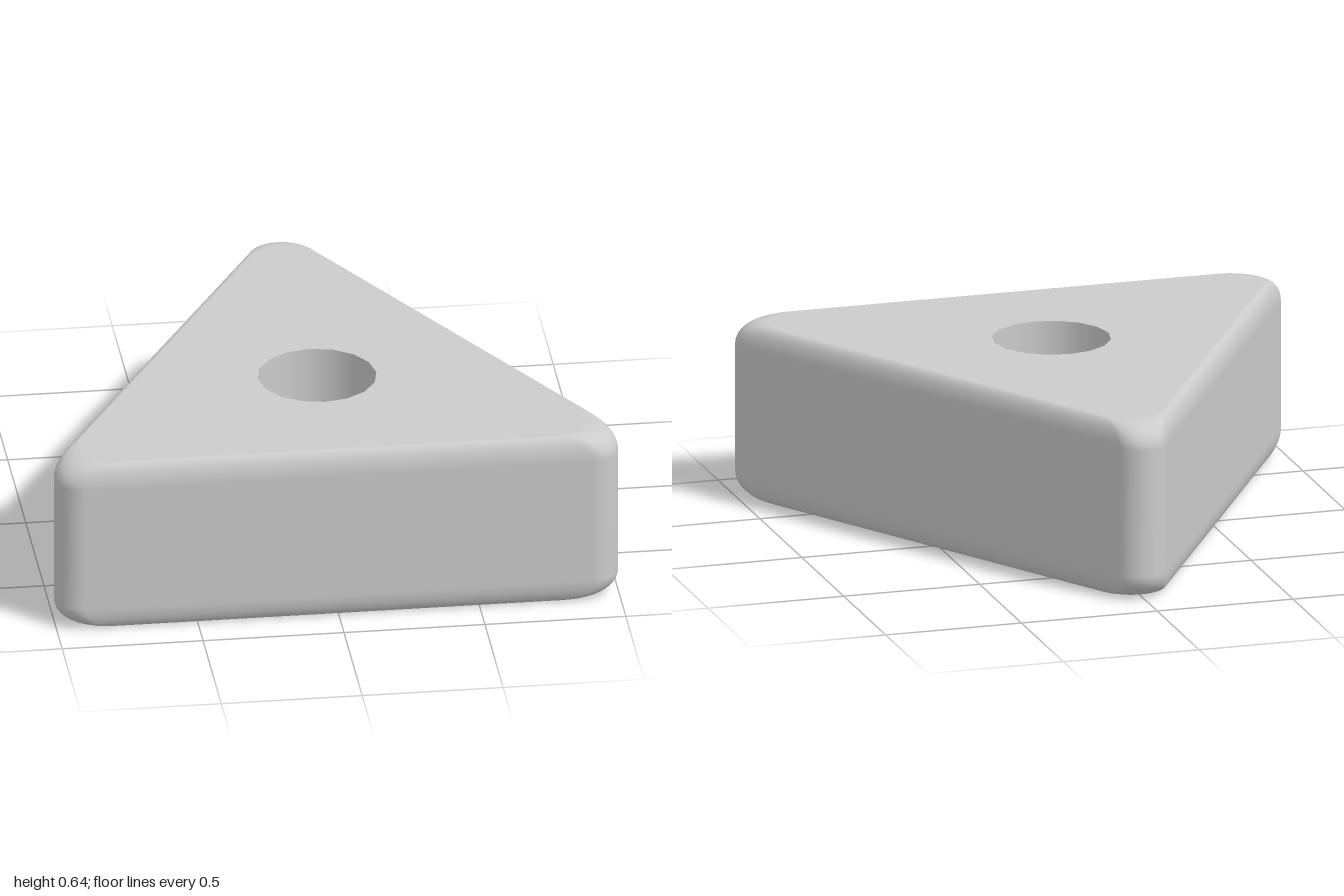
import * as THREE from 'three';

const HEIGHT = 0.645, CENTRE_Z = 0.26, INRADIUS = 0.62, BORE = 0.21;
const CORNER = 0.1, BEVEL_IN = 0.04, BEVEL_UP = 0.09;
const BEVEL_STEPS = 8, ARC_STEPS = 12;

// Rounded equilateral triangle in plan (x, z), inset from the sides, apex to the back
function outline(inset, radius) {
  const points = [];
  const reach = 2 * (INRADIUS - inset - radius);
  for (let k = 0; k < 3; k++) {
    const a = -Math.PI / 2 + k * Math.PI * 2 / 3;
    for (let i = 0; i <= ARC_STEPS; i++) {
      const b = a + (i / ARC_STEPS - 0.5) * Math.PI * 2 / 3;
      points.push(new THREE.Vector2(
        reach * Math.cos(a) + radius * Math.cos(b),
        reach * Math.sin(a) + radius * Math.sin(b)));
    }
  }
  return points;
}

// Bevel level: t = 0 on the vertical wall, t = 1 on the flat face
function level(t) {
  const angle = t * Math.PI / 2, c = 1 - Math.cos(angle);
  return {
    points: outline(BEVEL_IN * c, CORNER + 0.035 * c),
    rise: BEVEL_UP * Math.sin(angle),
  };
}

// Side wall with rounded upper and lower edges
function wallGeometry() {
  const rings = [];
  for (let i = BEVEL_STEPS; i >= 0; i--) {
    const l = level(i / BEVEL_STEPS);
    rings.push({ points: l.points, y: BEVEL_UP - l.rise });
  }
  for (let i = 0; i <= BEVEL_STEPS; i++) {
    const l = level(i / BEVEL_STEPS);
    rings.push({ points: l.points, y: HEIGHT - BEVEL_UP + l.rise });
  }
  const n = rings[0].points.length, positions = [], index = [];
  rings.forEach((ring, r) => ring.points.forEach((p, j) => {
    positions.push(p.x, ring.y, p.y);
    if (r === rings.length - 1) return;
    const a = r * n + j, b = r * n + (j + 1) % n;
    index.push(a, a + n, b, b, a + n, b + n);
  }));
  const geometry = new THREE.BufferGeometry();
  geometry.setAttribute('position', new THREE.Float32BufferAttribute(positions, 3));
  geometry.setIndex(index);
  geometry.computeVertexNormals();
  return geometry;
}

// Flat face with the bore cut out; side is 1 for the top, -1 for the bottom
function faceGeometry(side) {
  const flip = (p) => new THREE.Vector2(p.x, -side * p.y);
  const shape = new THREE.Shape(level(1).points.map(flip));
  const hole = [];
  for (let i = 0; i < 16; i++) {
    const a = i * Math.PI / 8;
    hole.push(new THREE.Vector2(BORE * Math.cos(a), BORE * Math.sin(a)));
  }
  shape.holes.push(new THREE.Path(hole));
  const geometry = new THREE.ShapeGeometry(shape);
  geometry.rotateX(-side * Math.PI / 2);
  geometry.translate(0, side > 0 ? HEIGHT : 0, 0);
  return geometry;
}

export function createModel() {
  const group = new THREE.Group();
  group.name = 'triangularBlock';
  const grey = new THREE.MeshStandardMaterial({ color: 0xcccccc });
  const inner = new THREE.MeshStandardMaterial({ color: 0xcccccc, side: THREE.BackSide });
  const add = (name, geometry, material = grey) => {
    const mesh = new THREE.Mesh(geometry, material);
    mesh.name = name;
    mesh.position.z = CENTRE_Z;
    group.add(mesh);
    return mesh;
  };

  add('sideWall', wallGeometry());
  add('topFace', faceGeometry(1));
  add('bottomFace', faceGeometry(-1));

  // Through hole
  const bore = new THREE.CylinderGeometry(BORE, BORE, HEIGHT, 16, 1, true);
  add('bore', bore, inner).position.y = HEIGHT / 2;

  return group;
}
